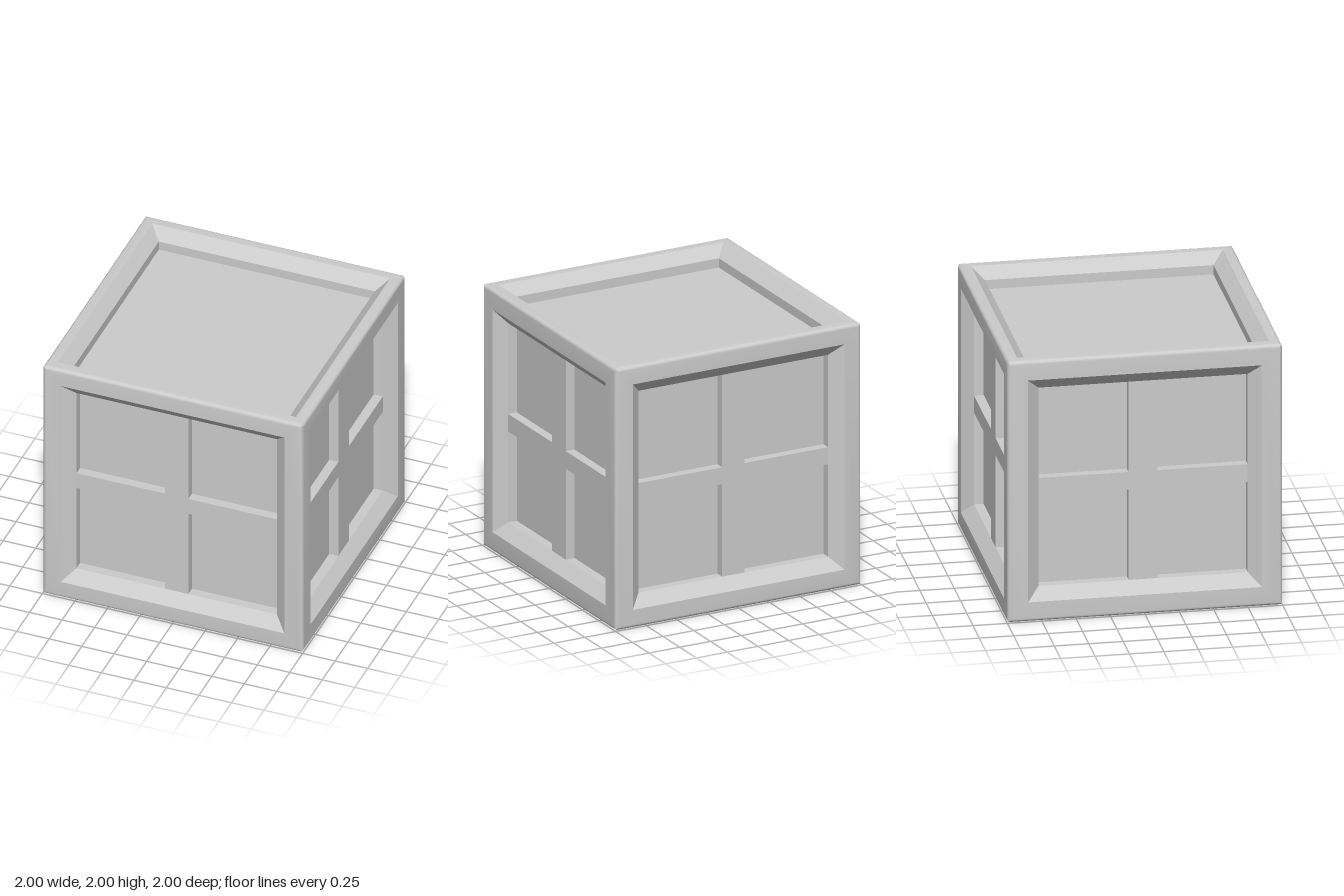
import * as THREE from 'three';
import { mergeGeometries, toCreasedNormals } from 'three/addons/utils/BufferGeometryUtils.js';

const ROUND = 0.03;       // edge rounding of the frame
const BEVEL_DEPTH = 0.08; // depth of the sloped border
const PANEL_DEPTH = 0.15; // depth of the recessed panels
const material = new THREE.MeshStandardMaterial({ color: 0xcccccc });

// open / inner: half sizes of the opening before and after the slope
const windowA = { open: 0.86, inner: 0.77, barW: 0.18, barH: 0.13 };
const windowB = { open: 0.85, inner: 0.76, barW: 0.21, barH: 0.135 };
const SIDES = [
  { name: 'front', rx: 0, ry: 0, ...windowA },
  { name: 'back', rx: 0, ry: Math.PI, ...windowA },
  { name: 'left', rx: 0, ry: Math.PI / 2, ...windowB },
  { name: 'right', rx: 0, ry: -Math.PI / 2, ...windowB },
  { name: 'top', rx: -Math.PI / 2, ry: 0, open: 0.915, inner: 0.83 },
  { name: 'bottom', rx: Math.PI / 2, ry: 0 },
];

// Bands between square loops [half size, depth], facing +z; optionally closed at the end
function squareLoops(loops, closed) {
  const pos = [];
  const corner = ([h, d], i) => {
    const k = i % 4;
    return [k === 0 || k === 3 ? -h : h, k < 2 ? -h : h, 1 - d];
  };
  for (let l = 0; l < loops.length - 1; l++) {
    for (let i = 0; i < 4; i++) {
      const a = corner(loops[l], i), b = corner(loops[l], i + 1);
      const c = corner(loops[l + 1], i + 1), d = corner(loops[l + 1], i);
      pos.push(...a, ...b, ...c, ...a, ...c, ...d);
    }
  }
  if (closed) {
    const [a, b, c, d] = [0, 1, 2, 3].map((i) => corner(loops[loops.length - 1], i));
    pos.push(...a, ...b, ...c, ...a, ...c, ...d);
  }
  const g = new THREE.BufferGeometry();
  g.setAttribute('position', new THREE.Float32BufferAttribute(pos, 3));
  return g;
}

// One side of the frame: half of the rounded edge, rim, slope and inner wall
function frameSide(side) {
  const loops = [45, 22.5, 0].map((deg) => {
    const a = THREE.MathUtils.degToRad(deg);
    return [1 - ROUND + ROUND * Math.sin(a), ROUND * (1 - Math.cos(a))];
  });
  if (side.open) {
    loops.push([side.open, 0], [side.inner, BEVEL_DEPTH], [side.inner, PANEL_DEPTH]);
  }
  const g = squareLoops(loops, !side.open);
  return g.applyMatrix4(new THREE.Matrix4().makeRotationFromEuler(new THREE.Euler(side.rx, side.ry, 0)));
}

function addMesh(parent, name, geometry, x = 0, y = 0, z = 0) {
  const mesh = new THREE.Mesh(geometry, material);
  mesh.name = name;
  mesh.position.set(x, y, z);
  parent.add(mesh);
}

export function createModel() {
  const model = new THREE.Group();
  model.name = 'panelledCrate';

  // Rounded frame with sloped openings and a plain base
  addMesh(model, 'frame', toCreasedNormals(mergeGeometries(SIDES.map(frameSide)), 0.6), 0, 1, 0);

  // Recessed panels, with crossed bars on the four upright sides
  for (const side of SIDES) {
    if (!side.open) continue;
    const group = new THREE.Group();
    group.name = side.name + 'Panel';
    group.position.y = 1;
    group.rotation.set(side.rx, side.ry, 0);
    const size = side.inner * 2;
    addMesh(group, 'panel', new THREE.PlaneGeometry(size, size), 0, 0, 1 - PANEL_DEPTH);
    if (side.barW) {
      const thick = PANEL_DEPTH - BEVEL_DEPTH;
      const z = 1 - BEVEL_DEPTH - thick / 2;
      addMesh(group, 'uprightBar', new THREE.BoxGeometry(side.barW, size, thick), 0, 0, z);
      const length = side.inner - side.barW / 2;
      for (const s of [-1, 1]) {
        addMesh(group, 'crossBar', new THREE.BoxGeometry(length, side.barH, thick),
          s * (side.barW / 2 + length / 2), 0, z);
      }
    }
    model.add(group);
  }
  return model;
}
